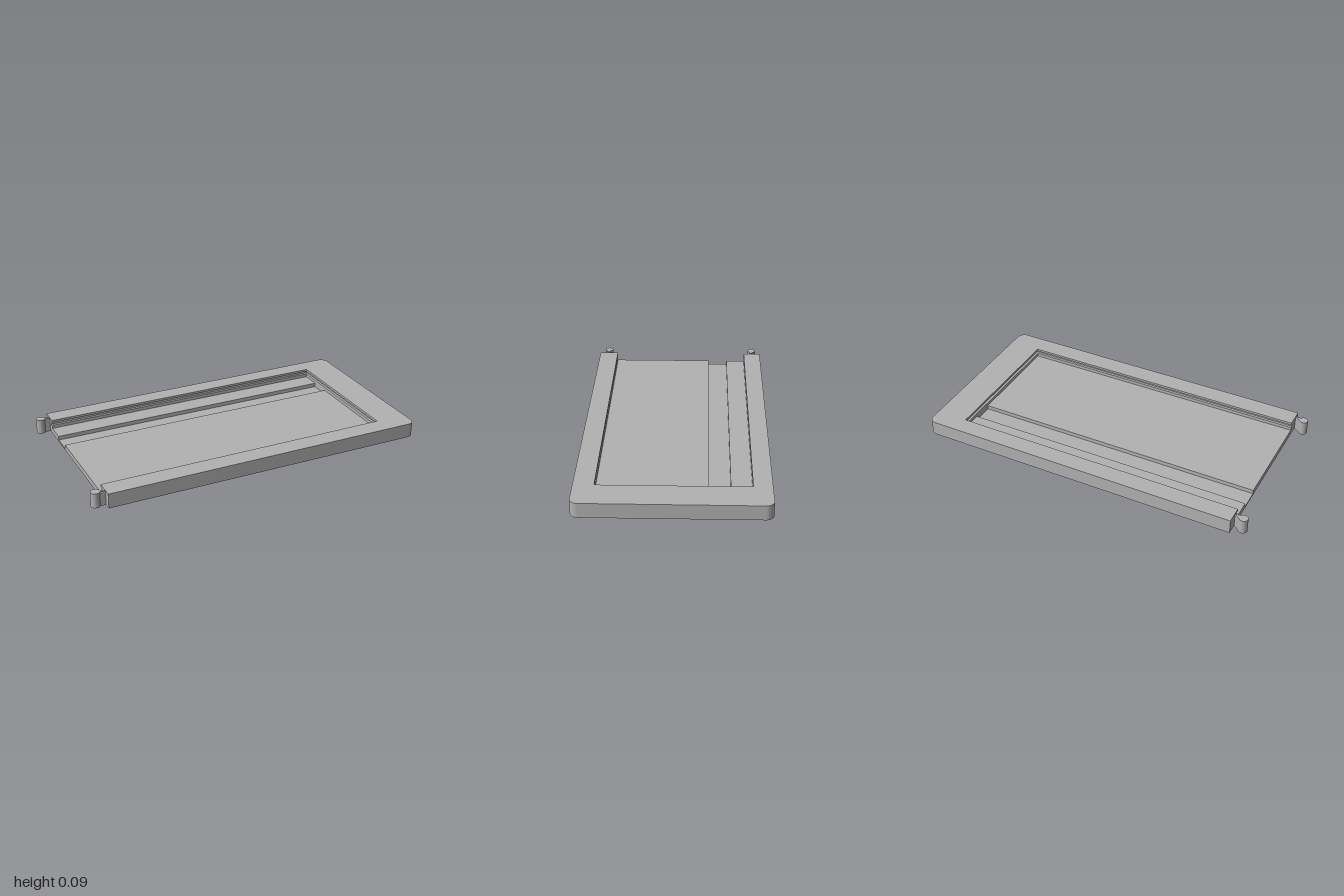
import * as THREE from 'three';
import { toCreasedNormals } from 'three/addons/utils/BufferGeometryUtils.js';

const LEFT = -0.92, RIGHT = 1, HALF = 0.53, RADIUS = 0.045, HEIGHT = 0.086;

// Plan outline with rounded right corners; an optional notch is open at the left end.
// Shape y is -z, so the extrusion stands upright after rotation.
function planShape(notch) {
  const s = new THREE.Shape();
  s.moveTo(LEFT, -HALF);
  s.lineTo(RIGHT - RADIUS, -HALF);
  s.absarc(RIGHT - RADIUS, -HALF + RADIUS, RADIUS, -Math.PI / 2, 0, false);
  s.lineTo(RIGHT, HALF - RADIUS);
  s.absarc(RIGHT - RADIUS, HALF - RADIUS, RADIUS, 0, Math.PI / 2, false);
  s.lineTo(LEFT, HALF);
  if (notch) {
    const { end, back, front } = notch;
    s.lineTo(LEFT, -back);
    s.lineTo(end, -back);
    s.lineTo(end, -front);
    s.lineTo(LEFT, -front);
  }
  s.closePath();
  return s;
}

// Round pin on a narrow neck
function pinShape(z) {
  const s = new THREE.Shape();
  const r = 0.026, neck = 0.013, cx = -1 + r, a = Math.asin(neck / r);
  s.moveTo(LEFT, -z + neck);
  s.absarc(cx, -z, r, a, Math.PI * 2 - a, false);
  s.lineTo(LEFT, -z - neck);
  s.closePath();
  return s;
}

export function createModel() {
  const model = new THREE.Group();
  model.name = 'slidingTray';
  const grey = new THREE.MeshStandardMaterial({ color: 0xb2b2b2 });
  grey.name = 'grey';

  function slab(name, shape, y0, y1) {
    const flat = new THREE.ExtrudeGeometry(shape, { depth: y1 - y0, bevelEnabled: false, curveSegments: 16 });
    flat.rotateX(-Math.PI / 2).translate(0, y0, 0);
    const mesh = new THREE.Mesh(toCreasedNormals(flat, 0.6), grey);
    mesh.name = name;
    model.add(mesh);
  }

  const recess = { end: 0.81, back: -0.425, front: 0.415 };
  const slot = { end: 0.825, back: -0.44, front: 0.43 };
  const channel = { end: 0.81, back: -0.31, front: -0.19 };

  // Bottom plate, then the floor with its long channel
  slab('bottomPlate', planShape(), 0, 0.01);
  slab('channelledFloor', planShape(channel), 0.01, 0.034);

  // Raised rim, with an undercut slot below the lip
  slab('lowerRim', planShape(recess), 0.034, 0.054);
  slab('slottedRim', planShape(slot), 0.054, 0.072);
  slab('rimLip', planShape(recess), 0.072, HEIGHT);

  // Connector pins at the open end
  slab('backPin', pinShape(-0.478), 0, HEIGHT);
  slab('frontPin', pinShape(0.475), 0, HEIGHT);

  return model;
}
